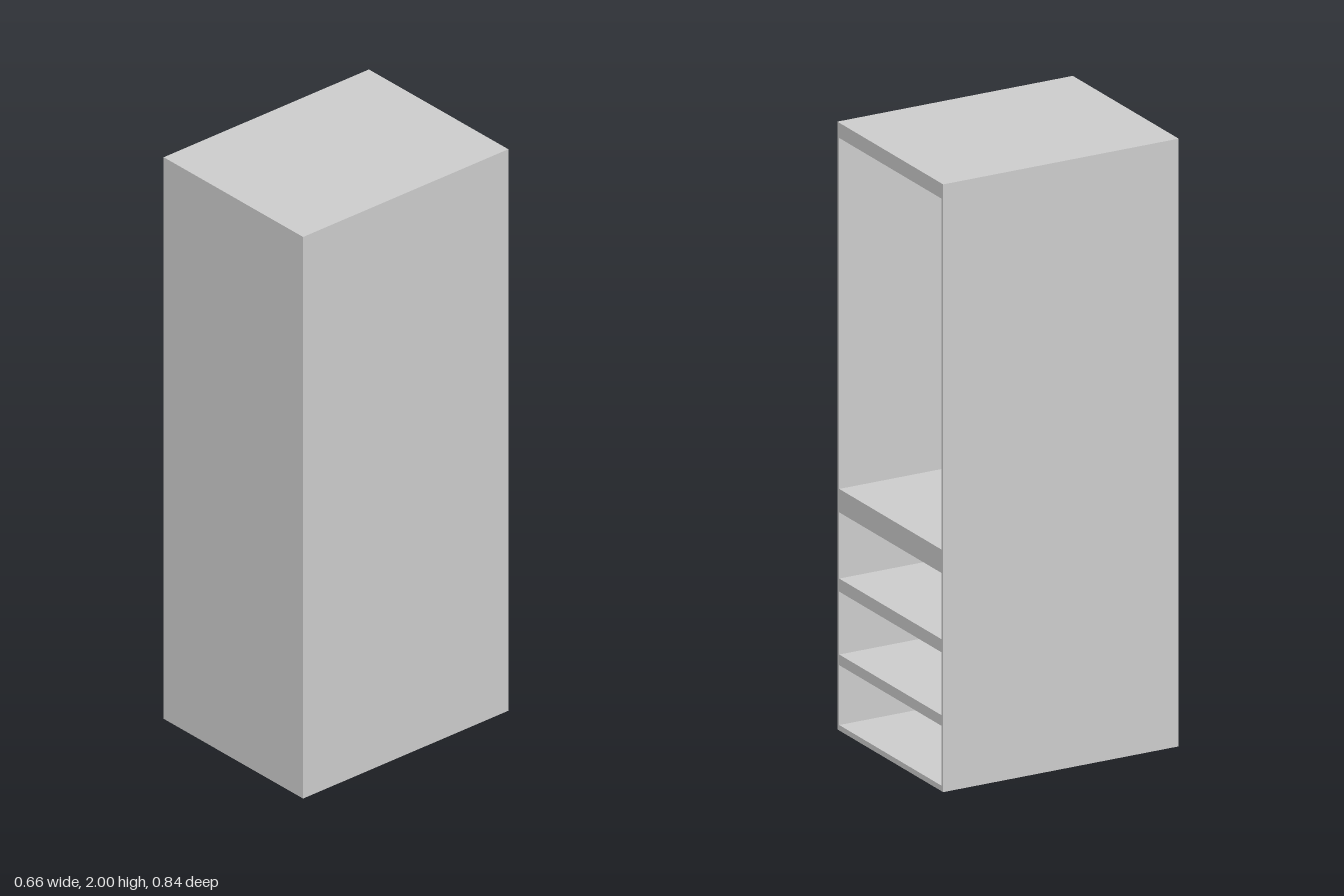
import * as THREE from 'three';

const W = 0.66, H = 2, D = 0.84; // overall size
const T = 0.012;                 // panel thickness

export function createModel() {
  const group = new THREE.Group();
  const material = new THREE.MeshStandardMaterial({ color: 0xcccccc, flatShading: true });

  // Box given by its lower and upper corner
  function board(name, [x0, y0, z0], [x1, y1, z1]) {
    const mesh = new THREE.Mesh(new THREE.BoxGeometry(x1 - x0, y1 - y0, z1 - z0), material);
    mesh.position.set((x0 + x1) / 2, (y0 + y1) / 2, (z0 + z1) / 2);
    mesh.name = name;
    group.add(mesh);
  }

  const x = W / 2, z = D / 2, inner = x - T;
  const floorTop = 0.018, ceiling = 1.95;

  // Closed carcass, open only at the back
  board('topPanel', [-x, ceiling, -z], [x, H, z]);
  board('bottomPanel', [-x, 0, -z], [x, floorTop, z]);
  board('leftPanel', [inner, floorTop, -z], [x, ceiling, z]);
  board('rightPanel', [-x, floorTop, -z], [-inner, ceiling, z]);
  board('frontPanel', [-inner, floorTop, z - T], [inner, ceiling, z]);

  // Half-depth shelves reached from the open back: [underside, top]
  const shelves = [[0.215, 0.25], [0.457, 0.5], [0.718, 0.795]];
  shelves.forEach(([y0, y1], i) =>
    board(`shelf${i + 1}`, [-inner, y0, -z], [inner, y1, -0.01]));

  return group;
}
